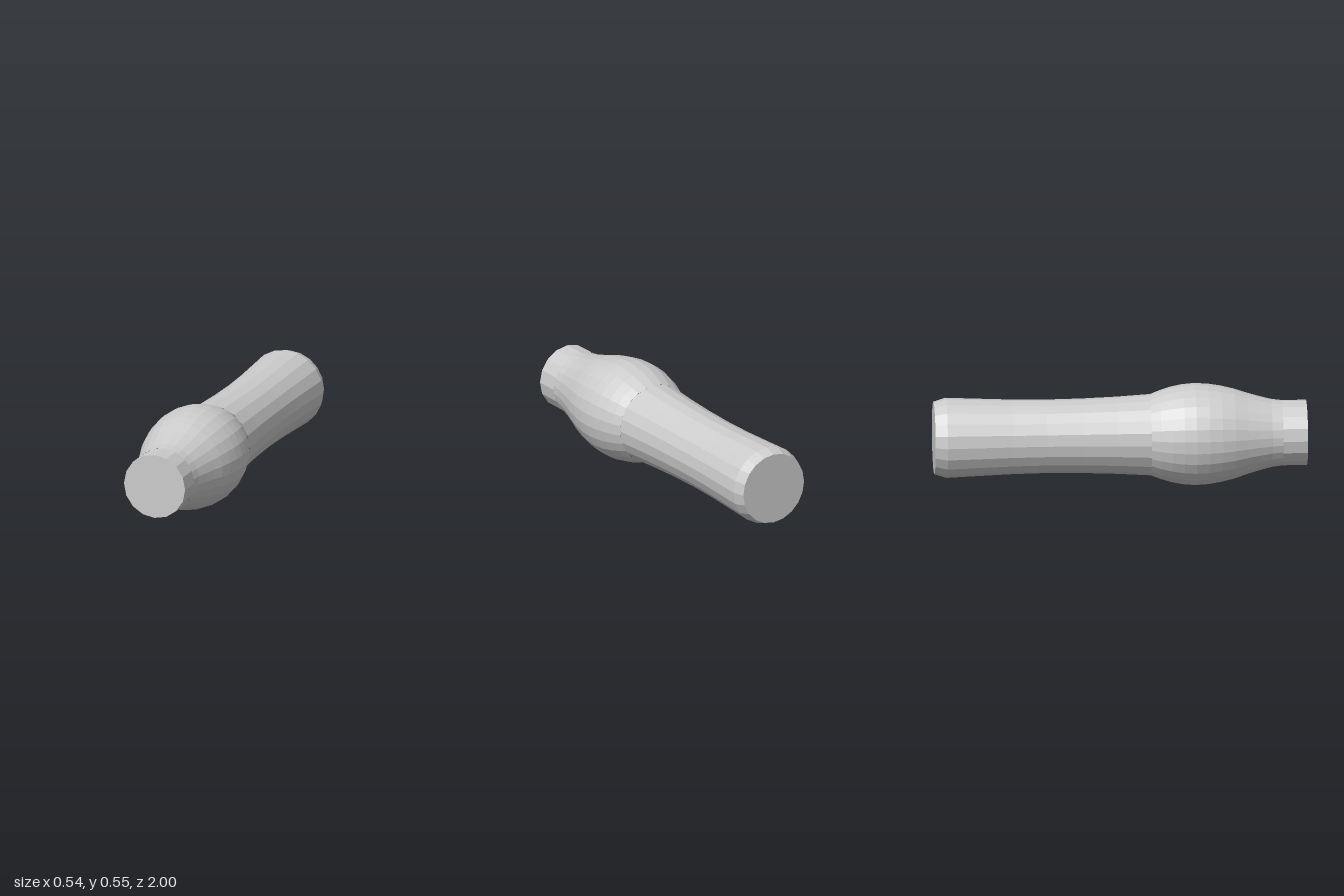
import * as THREE from 'three';

const AXIS_HEIGHT = 0.274;

// Turned part along z; profile is [radius, z] from back to front
function turned(name, profile, sides) {
  const points = profile.map(([r, z]) => new THREE.Vector2(r, z));
  const geometry = new THREE.LatheGeometry(points, sides);
  geometry.rotateX(Math.PI / 2);
  geometry.translate(0, AXIS_HEIGHT, 0);
  const material = new THREE.MeshStandardMaterial({ color: 0xcccccc, flatShading: true });
  const mesh = new THREE.Mesh(geometry, material);
  mesh.name = name;
  return mesh;
}

export function createModel() {
  const group = new THREE.Group();
  group.name = 'turnedHandle';

  // Long waisted grip with a chamfered, closed back end
  group.add(turned('grip', [
    [0, -1], [0.195, -1], [0.215, -0.935], [0.207, -0.75], [0.2, -0.58],
    [0.197, -0.4], [0.2, -0.2], [0.207, -0.02], [0.218, 0.16],
  ], 20));

  // Rounded bulb flowing into the neck
  group.add(turned('bulb', [
    [0.217, 0.16], [0.237, 0.21], [0.256, 0.27], [0.269, 0.335], [0.274, 0.4],
    [0.27, 0.47], [0.259, 0.54], [0.242, 0.61], [0.219, 0.68],
    [0.2, 0.745], [0.183, 0.81], [0.175, 0.87],
  ], 26));

  // Straight neck with a closed front end
  group.add(turned('neck', [[0.176, 0.865], [0.176, 1], [0, 1]], 16));

  return group;
}
